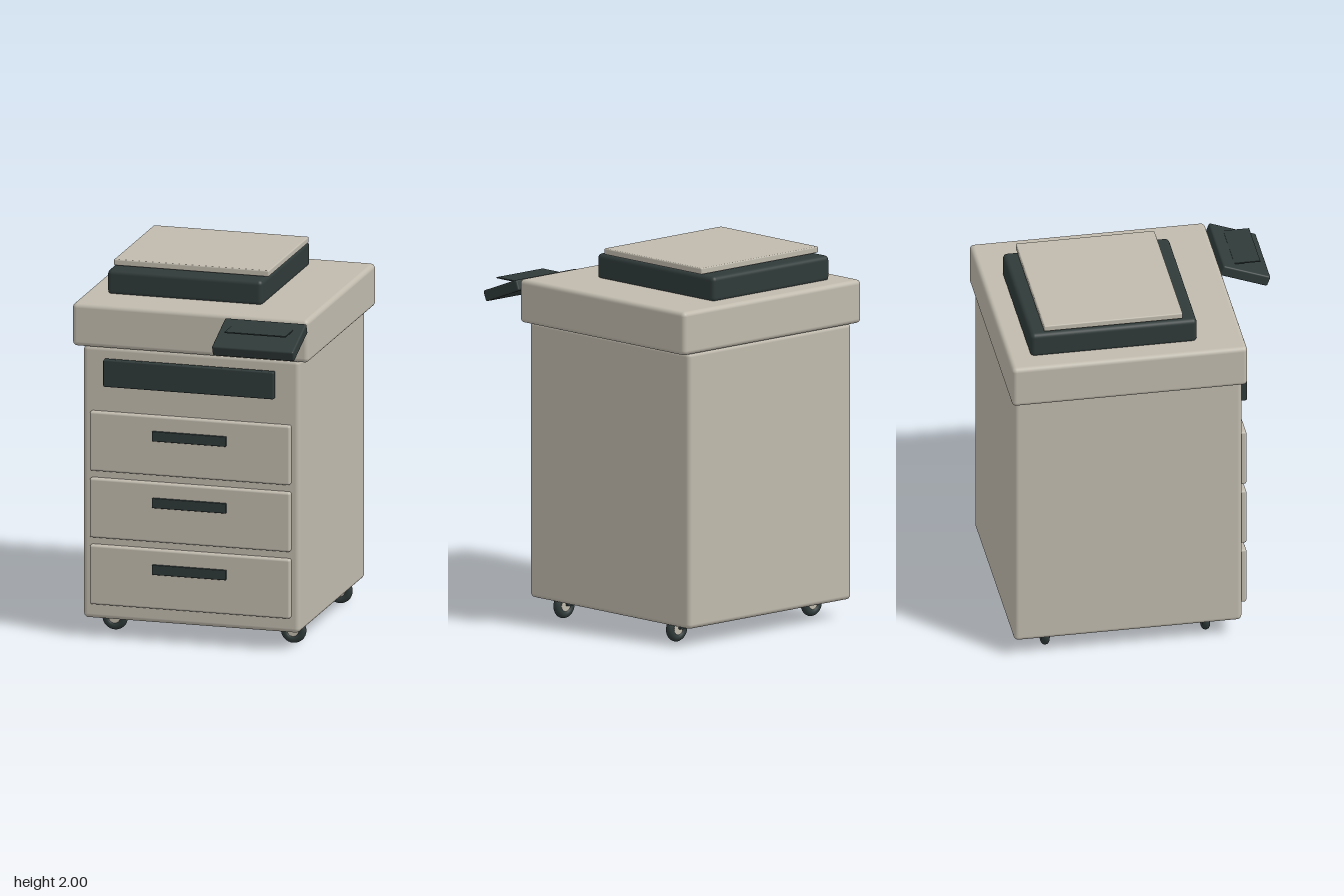
import * as THREE from 'three';
import { RoundedBoxGeometry } from 'three/addons/geometries/RoundedBoxGeometry.js';

export function createModel() {
  const model = new THREE.Group();
  model.name = 'officeCopier';

  const casing = new THREE.MeshStandardMaterial({ color: 0xc0baad });
  casing.name = 'warm grey casing';
  const dark = new THREE.MeshStandardMaterial({ color: 0x2f3a39 });
  dark.name = 'dark slate plastic';

  const add = (parent, name, geometry, material) => {
    const mesh = new THREE.Mesh(geometry, material);
    mesh.name = name;
    parent.add(mesh);
    return mesh;
  };

  // Rounded box given by its [min, max] extents on each axis
  const block = (name, [x0, x1], [y0, y1], [z0, z1], radius, material, parent = model) => {
    const mesh = add(parent, name, new RoundedBoxGeometry(x1 - x0, y1 - y0, z1 - z0, 4, radius), material);
    mesh.position.set((x0 + x1) / 2, (y0 + y1) / 2, (z0 + z1) / 2);
    return mesh;
  };

  // Cabinet and scanner head
  block('cabinet', [-0.6, 0.6], [0.1, 1.6], [-0.755, 0.475], 0.025, casing);
  block('scannerHead', [-0.655, 0.655], [1.595, 1.83], [-0.775, 0.497], 0.025, casing);

  // Document feeder with its offset cover
  block('documentFeeder', [-0.535, 0.325], [1.82, 1.96], [-0.655, 0.245], 0.025, dark);
  block('feederCover', [-0.52, 0.34], [1.966, 2.0], [-0.58, 0.17], 0.007, casing);

  // Paper output slot
  block('outputSlot', [-0.475, 0.472], [1.39, 1.54], [0.49, 0.526], 0.008, dark);

  // Three paper drawers with handles
  for (let i = 0; i < 3; i++) {
    const y = 0.348 + i * 0.367;
    const drawer = new THREE.Group();
    drawer.name = `drawer${i + 1}`;
    model.add(drawer);
    block('drawerFront', [-0.556, 0.556], [y - 0.163, y + 0.163], [0.465, 0.508], 0.012, casing, drawer);
    block('drawerHandle', [-0.205, 0.205], [y + 0.027, y + 0.082], [0.5, 0.52], 0.004, dark, drawer);
  }

  // Tilted control panel and the level display plate above it
  const panel = add(model, 'controlPanel', new RoundedBoxGeometry(0.453, 0.06, 0.272, 4, 0.01), dark);
  panel.position.set(0.428, 1.745, 0.638);
  panel.rotation.x = 0.36;
  const display = add(model, 'displayPlate', new THREE.BoxGeometry(0.338, 0.006, 0.14), dark);
  display.position.set(0.428, 1.795, 0.658);

  // Casters: tyre ring, pale hub and an offset mounting bracket
  const tyre = new THREE.TorusGeometry(0.048, 0.022, 16, 32);
  const hub = new THREE.CylinderGeometry(0.036, 0.036, 0.03, 24).rotateX(Math.PI / 2);
  const bracket = new THREE.BoxGeometry(0.04, 0.042, 0.064);
  for (const x of [-0.475, 0.515]) {
    for (const z of [0.295, -0.572]) {
      const caster = new THREE.Group();
      caster.name = 'caster';
      add(caster, 'tyre', tyre, dark);
      add(caster, 'hub', hub, casing);
      add(caster, 'bracket', bracket, dark).position.set(-0.02, 0.019, 0);
      caster.position.set(x, 0.07, z);
      model.add(caster);
    }
  }

  return model;
}
